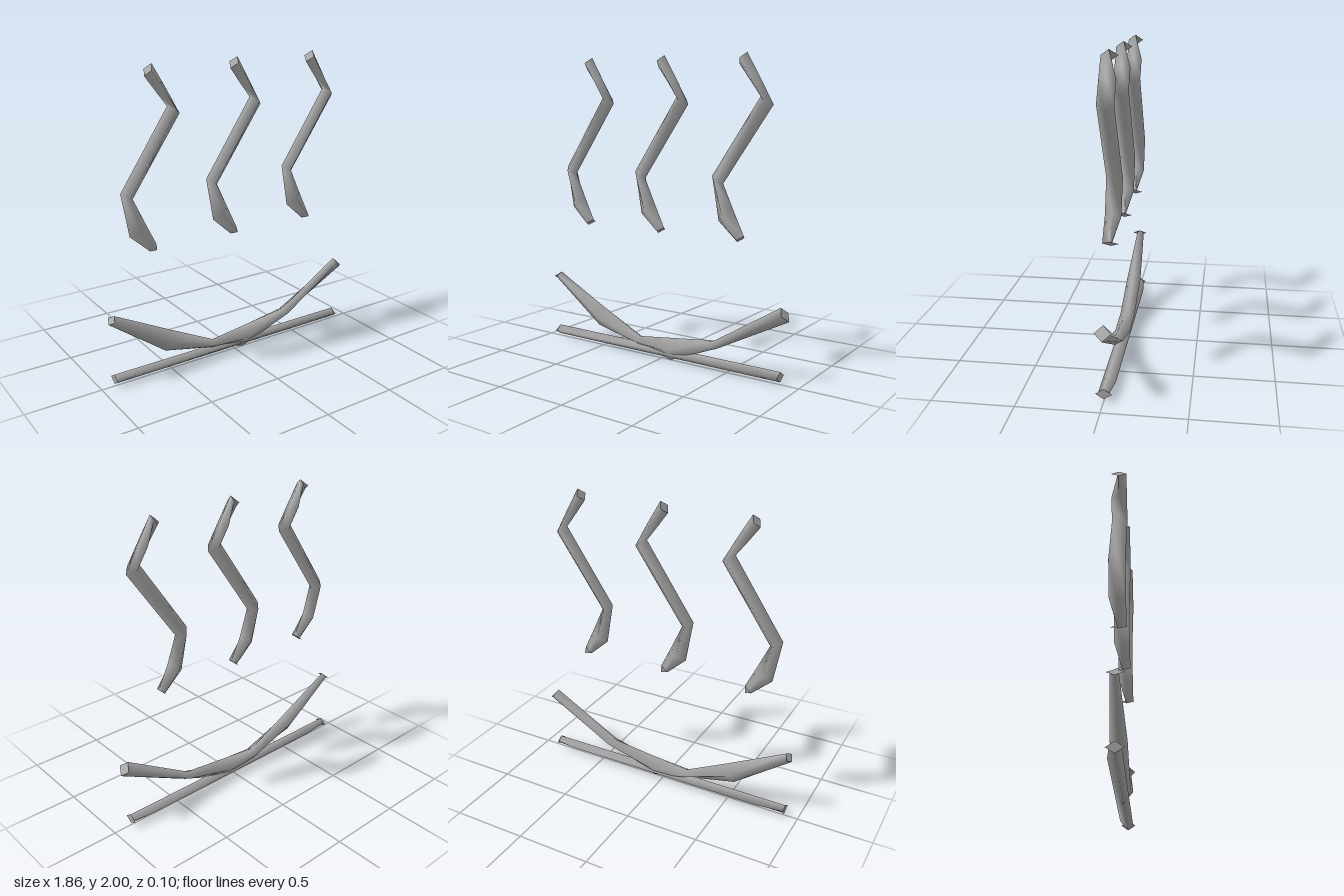
import * as THREE from 'three';

const steel = new THREE.MeshStandardMaterial({ color: 0xa6a6a6, side: THREE.DoubleSide });
steel.name = 'grey';

const HALF = 0.05; // half depth of every strand

function mesh(name, pos, idx) {
  const g = new THREE.BufferGeometry();
  g.setAttribute('position', new THREE.Float32BufferAttribute(pos, 3));
  g.setIndex(idx);
  g.computeVertexNormals();
  const m = new THREE.Mesh(g, steel);
  m.name = name;
  return m;
}

// Diamond-section strand. Each ring is [ax, ay, bx, by]: its two in-plane corners.
// frontEnd and backEnd are the depths the body narrows to at its ends, inside the caps.
function strand(name, rings, { front = HALF, frontEnd = front, backEnd = -HALF } = {}) {
  const group = new THREE.Group();
  group.name = name;
  const pos = [], idx = [];
  const last = rings.length - 1;
  const corners = ([ax, ay, bx, by], f, b) => {
    const mx = (ax + bx) / 2, my = (ay + by) / 2;
    return [ax, ay, 0, mx, my, f, bx, by, 0, mx, my, b];
  };
  rings.forEach((r, i) => {
    const end = i === 0 || i === last;
    pos.push(...corners(r, end ? frontEnd : front, end ? backEnd : -HALF));
  });
  for (let i = 0; i < last; i++) {
    for (let j = 0; j < 4; j++) {
      const a = i * 4 + j, b = i * 4 + (j + 1) % 4;
      idx.push(a, b, a + 4, b, b + 4, a + 4);
    }
  }
  group.add(mesh('body', pos, idx));
  // full diamond caps
  group.add(mesh('startCap', corners(rings[0], HALF, -HALF), [0, 2, 1, 0, 3, 2]));
  group.add(mesh('endCap', corners(rings[last], HALF, -HALF), [0, 1, 2, 0, 2, 3]));
  return group;
}

export function createModel() {
  const model = new THREE.Group();
  model.name = 'heatSign';

  // three rising wavy strands
  const wave = [
    [0.02, 2.0, -0.03, 1.93],
    [0.11, 1.85, 0.045, 1.83],
    [0.20, 1.69, 0.115, 1.74],
    [-0.135, 1.205, -0.215, 1.25],
    [-0.06, 1.045, -0.165, 0.97],
    [0.015, 0.89, -0.03, 0.85],
  ];
  for (const [name, x] of [['rightWave', -0.597], ['middleWave', 0], ['leftWave', 0.595]]) {
    const s = strand(name, wave, { backEnd: -0.005 });
    s.position.x = x;
    model.add(s);
  }

  // shallow curved strand
  model.add(strand('curve', [
    [-0.89, 0.48, -0.93, 0.43],
    [-0.50, 0.28, -0.54, 0.14],
    [-0.18, 0.12, -0.18, 0.06],
    [0.07, 0.152, 0.07, 0],
    [0.41, 0.195, 0.43, 0.145],
    [0.87, 0.48, 0.925, 0.40],
  ], { frontEnd: 0.02, backEnd: -0.03 }));

  // straight base bar
  model.add(strand('baseBar', [
    [-0.91, 0.08, -0.91, 0.015],
    [-0.72, 0.08, -0.72, 0.015],
    [0.72, 0.08, 0.72, 0.015],
    [0.875, 0.08, 0.875, 0.015],
  ], { front: 0.035, backEnd: -0.03 }));

  return model;
}
